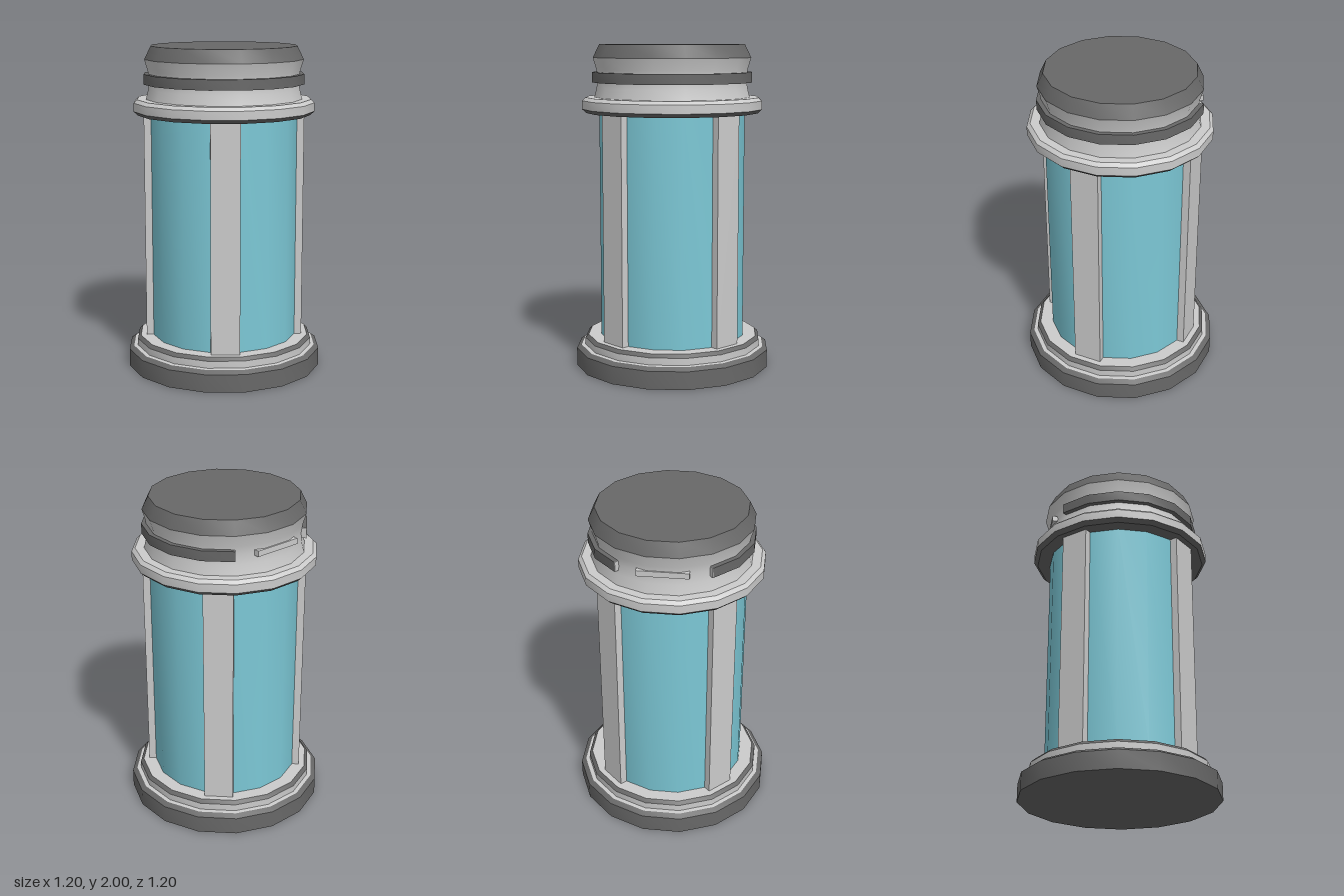
import * as THREE from 'three';
import { toCreasedNormals } from 'three/addons/utils/BufferGeometryUtils.js';

const SIDES = 16;
const STEP = (Math.PI * 2) / SIDES;
const TWIST = THREE.MathUtils.degToRad(-1.4); // slight turn of the whole body

const grey = new THREE.MeshStandardMaterial({ color: 0xcccccc });
const dark = new THREE.MeshStandardMaterial({ color: 0x686868 });
const blue = new THREE.MeshStandardMaterial({ color: 0x7cc8d6 });

export function createModel() {
  const model = new THREE.Group();
  model.name = 'canister';
  const body = new THREE.Group();
  body.name = 'body';
  body.rotation.y = TWIST;
  model.add(body);

  const add = (name, geometry, material, parent = body) => {
    const mesh = new THREE.Mesh(geometry, material);
    mesh.name = name;
    parent.add(mesh);
    return mesh;
  };

  // Turned part from [radius, height] pairs, listed bottom to top
  const turned = (name, profile, material, firstSide = 0, sides = SIDES) => {
    const points = profile.map(([r, y]) => new THREE.Vector2(r, y));
    const lathe = new THREE.LatheGeometry(points, sides, (firstSide + 0.5) * STEP, sides * STEP);
    return add(name, toCreasedNormals(lathe, 0.5), material);
  };

  // Foot
  turned('base', [[0, 0], [0.607, 0], [0.607, 0.11], [0.578, 0.13]], dark);
  turned('footRing', [[0.578, 0.13], [0.553, 0.132], [0.553, 0.175]], grey);
  turned('footRim', [[0.553, 0.175], [0.533, 0.195]], dark);
  turned('footTop', [[0.533, 0.195], [0.44, 0.195]], grey);

  // Glass and the four posts around it
  turned('glass', [[0.452, 0.19], [0.452, 1.59]], blue);
  for (let i = 0; i < 4; i++) {
    const post = new THREE.Group();
    post.name = 'post' + (i + 1);
    post.rotation.y = Math.PI / 4 + (i * Math.PI) / 2;
    body.add(post);
    add('postBar', new THREE.BoxGeometry(0.175, 1.4, 0.07), grey, post).position.set(0, 0.89, 0.453);
  }

  // Collar
  turned('collarUnderside', [[0.44, 1.585], [0.533, 1.585], [0.557, 1.608]], dark);
  turned('collar', [[0.557, 1.608], [0.557, 1.66], [0.536, 1.68], [0.47, 1.68]], grey);

  // Waisted neck and lid
  turned('neck', [[0.482, 1.68], [0.467, 1.74], [0.462, 1.8], [0.468, 1.85], [0.489, 1.92]], grey);
  turned('lid', [[0.489, 1.92], [0.45, 2], [0, 2]], dark);

  // Raised band, open over three sides at the back
  turned('band', [[0.45, 1.77], [0.494, 1.77], [0.494, 1.832], [0.45, 1.832]], dark, 9, 13);
  for (const side of [-1, 1]) {
    const end = new THREE.Group();
    end.name = side < 0 ? 'bandEndRight' : 'bandEndLeft';
    end.rotation.y = Math.PI + side * 1.5 * STEP;
    body.add(end);
    add('bandEndCap', new THREE.BoxGeometry(0.004, 0.062, 0.044), grey, end).position.set(0, 1.801, 0.472);
  }

  // Small flat bar in the gap of the band
  add('backBar', new THREE.BoxGeometry(0.3, 0.035, 0.06), grey).position.set(0, 1.801, -0.433);

  return model;
}
